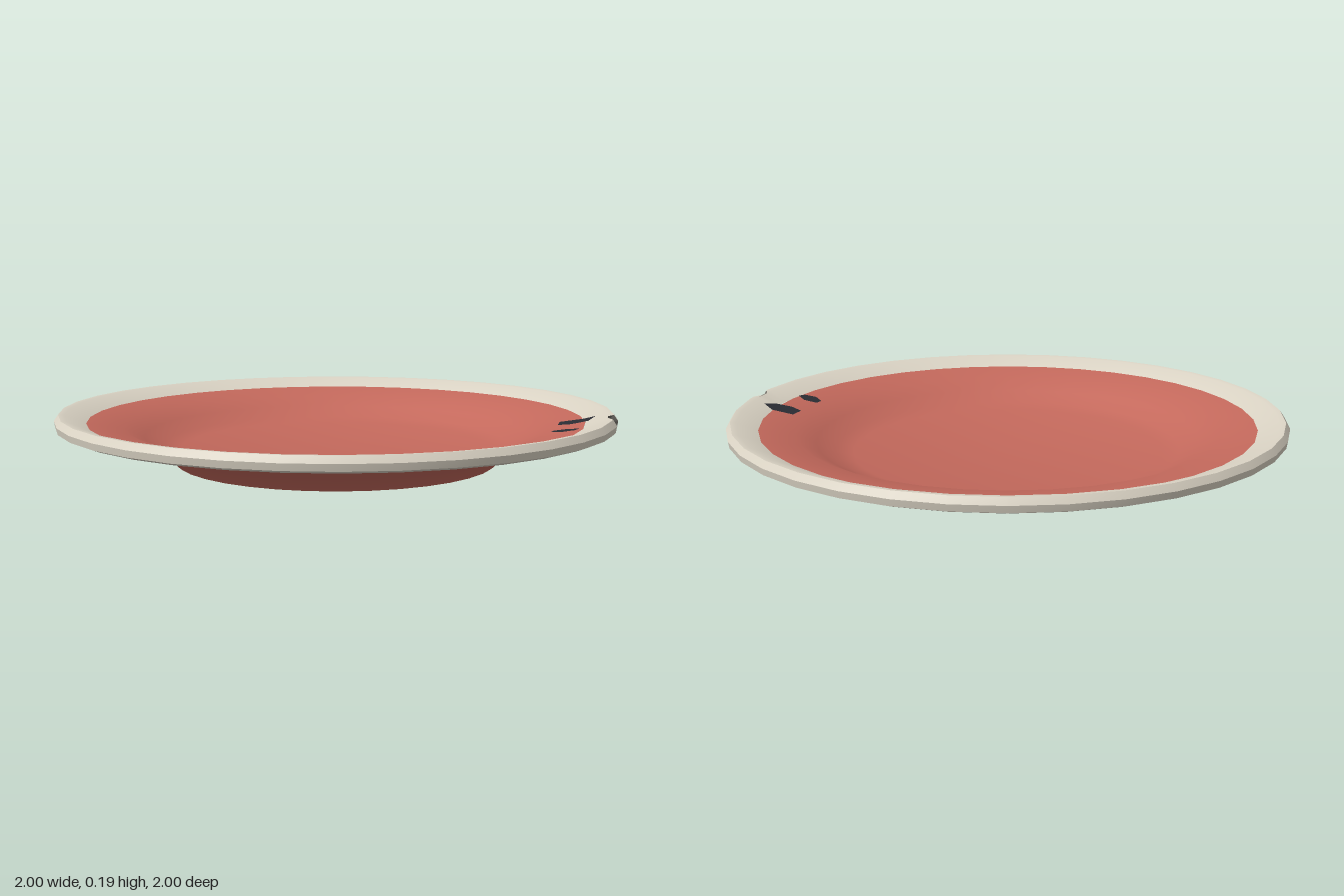
import * as THREE from 'three';
import { toCreasedNormals } from 'three/addons/utils/BufferGeometryUtils.js';

const CHIP = [31.6, 33.8, 36, 38]; // degrees where the rim is chipped

// Radius of a profile point, cut back inside the chip
function radiusAt(r, y, deg) {
  const d = deg % 360;
  const chipped = d > 33 && d < 37;
  return chipped ? Math.min(r, 0.945 + (y - 0.135) * 0.36) : r;
}

// Surface swept round the y axis from [radius, height] points
function sweep(profile, degrees) {
  const pos = [], index = [], n = degrees.length;
  for (const [r, y] of profile) {
    for (const deg of degrees) {
      const t = THREE.MathUtils.degToRad(deg), q = radiusAt(r, y, deg);
      pos.push(q * Math.cos(t), y, -q * Math.sin(t));
    }
  }
  for (let j = 0; j < profile.length - 1; j++) {
    for (let i = 0; i < n - 1; i++) {
      const a = j * n + i, b = a + 1, d = a + n, c = d + 1;
      if (profile[j][0] > 0) index.push(a, b, c);
      if (profile[j + 1][0] > 0) index.push(a, c, d);
    }
  }
  const g = new THREE.BufferGeometry();
  g.setAttribute('position', new THREE.Float32BufferAttribute(pos, 3));
  g.setIndex(index);
  return toCreasedNormals(g, 0.6);
}

// Profiles run from the outside in, as seen from each side
const under = [[0, 0.025], [0.49, 0.025], [0.52, 0], [0.578, 0], [0.62, 0.04], [0.74, 0.09], [0.82, 0.122], [0.876, 0.135]];
const rimUnder = [[0.876, 0.135], [0.97, 0.135]];
const rimSide = [[0.97, 0.135], [0.996, 0.145], [1, 0.168], [0.985, 0.19]];
const rimTop = [[0.985, 0.19], [0.965, 0.188], [0.89, 0.157]];
const inside = [[0.89, 0.157], [0.76, 0.135], [0.69, 0.1], [0.62, 0.065], [0.56, 0.05], [0, 0.05]];

// Height of the upper surface at a radius
function topHeight(r) {
  const p = [...rimTop, ...inside.slice(1)];
  for (let i = 0; i < p.length - 1; i++) {
    const [r0, y0] = p[i], [r1, y1] = p[i + 1];
    if (r <= r0 && r >= r1) return y1 + (y0 - y1) * (r - r1) / (r0 - r1);
  }
  return 0.19;
}

// Flat irregular patch laid on the upper surface, from [x, z] corners
function patch(corners) {
  const g = new THREE.ShapeGeometry(new THREE.Shape(corners.map(([x, z]) => new THREE.Vector2(x, -z))));
  g.rotateX(-Math.PI / 2);
  const p = g.attributes.position;
  for (let i = 0; i < p.count; i++) p.setY(i, topHeight(Math.hypot(p.getX(i), p.getZ(i))) + 0.007);
  g.computeVertexNormals();
  return g;
}

export function createModel() {
  const clay = new THREE.MeshStandardMaterial({ name: 'red clay', color: 0xc4695c });
  const cream = new THREE.MeshStandardMaterial({ name: 'cream glaze', color: 0xdad3c4 });
  const grey = new THREE.MeshStandardMaterial({ name: 'chip grey', color: 0x6b6862 });
  const dark = new THREE.MeshStandardMaterial({ name: 'dark stain', color: 0x2b2d34, side: THREE.DoubleSide });

  const model = new THREE.Group();
  model.name = 'plate';
  const add = (name, geometry, material) => {
    const mesh = new THREE.Mesh(geometry, material);
    mesh.name = name;
    model.add(mesh);
  };

  // Angles for a full turn, and for the edge without its chip
  const tens = Array.from({ length: 37 }, (_, i) => i * 10);
  const full = [...tens, ...CHIP].sort((a, b) => a - b);
  const edge = [38, ...Array.from({ length: 36 }, (_, i) => 40 + i * 10), 391.6];

  add('underside', sweep(under, tens), clay);
  add('bowl', sweep(inside, tens), clay);
  add('rimUnderside', sweep(rimUnder, full), cream);
  add('rimEdge', sweep(rimSide, edge), cream);
  add('rimTop', sweep(rimTop, full), cream);
  add('rimChip', sweep(rimSide, CHIP), grey);

  // Two stains by the chip
  add('largeStain', patch([[0.585, -0.55], [0.65, -0.6], [0.7, -0.605], [0.71, -0.55], [0.67, -0.505], [0.62, -0.495]]), dark);
  add('smallStain', patch([[0.69, -0.385], [0.73, -0.415], [0.78, -0.41], [0.785, -0.38], [0.75, -0.35], [0.705, -0.355]]), dark);
  return model;
}
